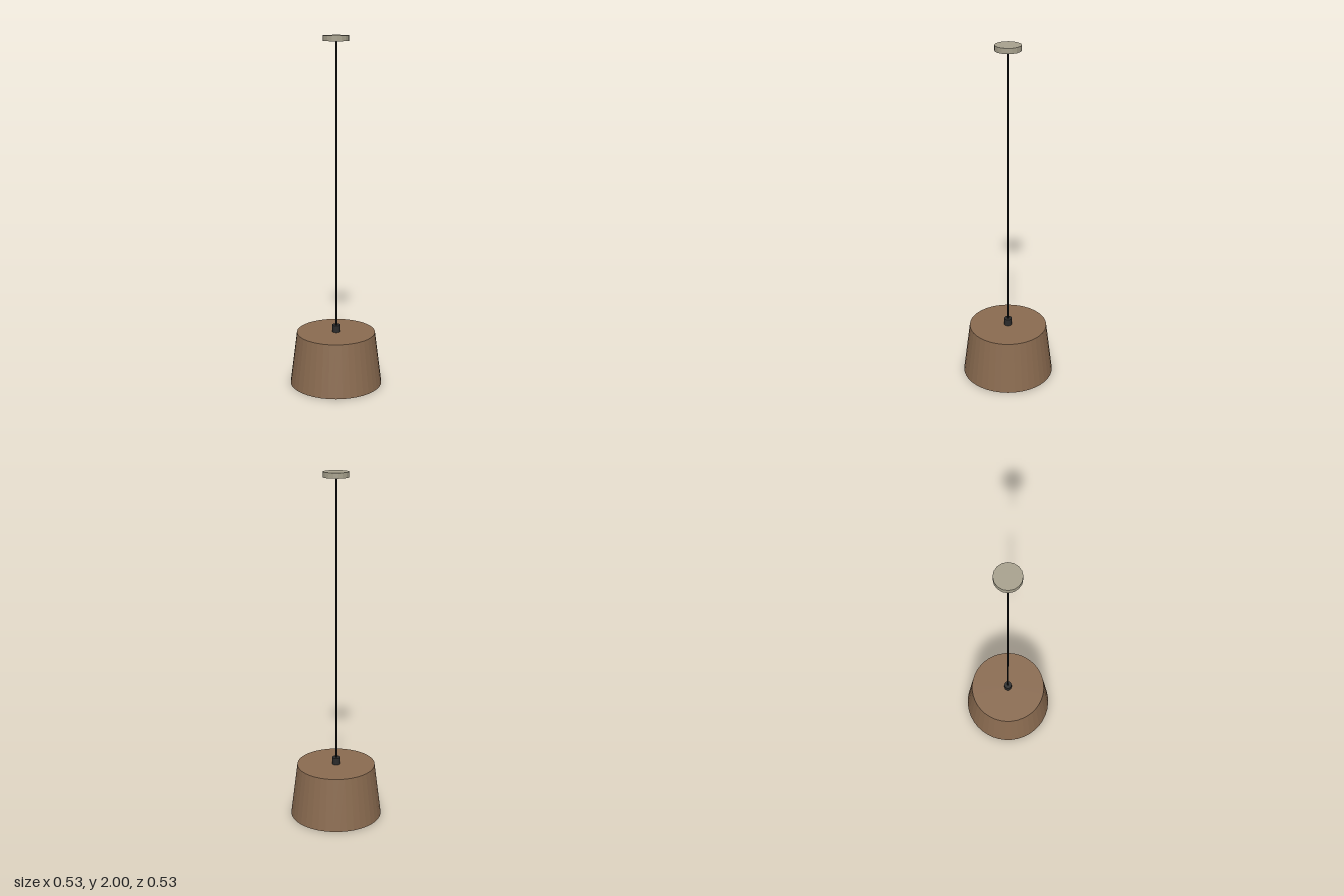
import * as THREE from 'three';

// Upright faceted cylinder or cone section spanning y0 to y1
function drum(name, rTop, rBottom, y0, y1, sides, color) {
  const material = new THREE.MeshStandardMaterial({ color });
  material.flatShading = true;
  const mesh = new THREE.Mesh(new THREE.CylinderGeometry(rTop, rBottom, y1 - y0, sides), material);
  mesh.name = name;
  mesh.position.y = (y0 + y1) / 2;
  return mesh;
}

export function createModel() {
  const model = new THREE.Group();
  model.name = 'pendantLamp';
  model.add(
    // Tapered shade, closed at both ends
    drum('shade', 0.227, 0.266, 0, 0.307, 40, 0x8a6b50),
    // Socket cap on top of the shade
    drum('socketCap', 0.024, 0.024, 0.307, 0.348, 16, 0x2a2a2a),
    // Hanging cord
    drum('cord', 0.005, 0.005, 0.34, 1.975, 8, 0x151515),
    // Ceiling canopy
    drum('ceilingCanopy', 0.073, 0.073, 1.97, 2, 16, 0xa8a28e),
  );
  return model;
}
